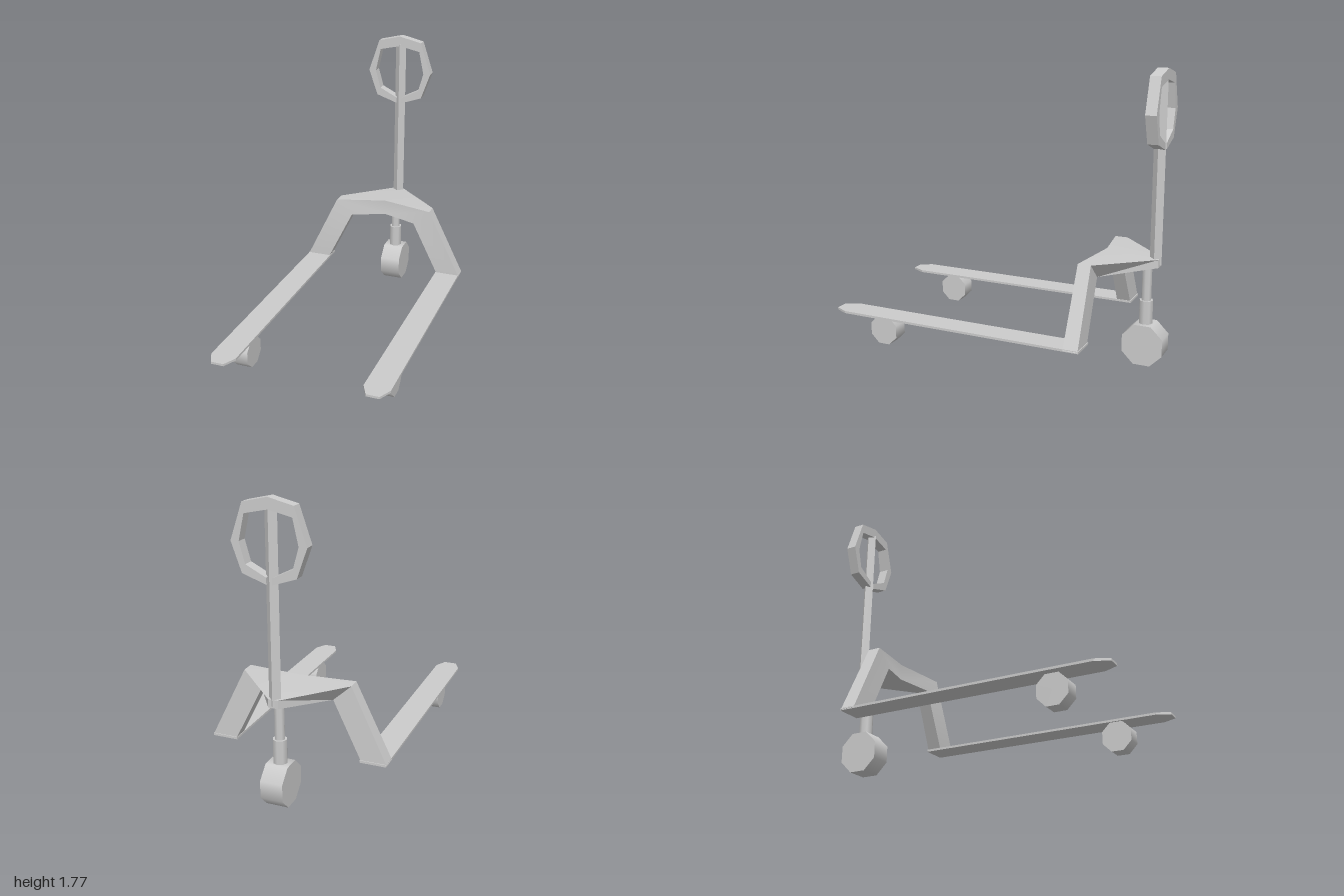
import * as THREE from 'three';
import { toCreasedNormals } from 'three/addons/utils/BufferGeometryUtils.js';

const smooth = new THREE.MeshStandardMaterial({ color: 0xcccccc, side: THREE.DoubleSide });
const flat = new THREE.MeshStandardMaterial({ color: 0xcccccc, flatShading: true });

function add(group, name, geometry, material = smooth) {
  const mesh = new THREE.Mesh(geometry, material);
  mesh.name = name;
  group.add(mesh);
  return mesh;
}

const shapeOf = (points) => new THREE.Shape(points.map(([x, y]) => new THREE.Vector2(x, y)));

// Octagonal wheel on an x axle, resting on a flat side
function wheel(group, name, radius, width, x, y, z) {
  const geo = new THREE.CylinderGeometry(radius, radius, width, 8, 1, false, Math.PI / 8);
  add(group, name, geo.rotateZ(Math.PI / 2)).position.set(x, y, z);
}

// Upright round or faceted bar between two heights
function bar(group, name, radius, y0, y1, z, sides, material) {
  const geo = new THREE.CylinderGeometry(radius, radius, y1 - y0, sides);
  add(group, name, geo, material).position.set(0, (y0 + y1) / 2, z);
}

// Arch: four-cornered sections (front top, front bottom, back bottom, back top) joined foot to foot
function archGeometry() {
  const half = [
    [[0.555, 0.22, -0.56], [0.4, 0.22, -0.56], [0.4, 0.22, -0.65], [0.555, 0.22, -0.65]],
    [[0.335, 0.67, -0.56], [0.225, 0.57, -0.56], [0.225, 0.57, -0.64], [0.335, 0.67, -0.64]],
    [[0, 0.685, -0.62], [0, 0.585, -0.62], [0.03, 0.61, -0.95], [0.03, 0.66, -0.95]],
  ];
  const mirrored = half.map((s) => s.map(([x, y, z]) => [-x, y, z])).reverse();
  const sections = [...half, ...mirrored];
  const position = [];
  const quad = (a, b, c, d) => position.push(...a, ...b, ...c, ...a, ...c, ...d);
  for (let i = 0; i < sections.length - 1; i++) {
    const s = sections[i], t = sections[i + 1];
    for (let j = 0; j < 4; j++) {
      const k = (j + 1) % 4;
      // Split mirrored halves along matching diagonals
      if (i < 2) quad(s[j], t[j], t[k], s[k]);
      else quad(t[j], t[k], s[k], s[j]);
    }
  }
  const first = sections[0], last = sections[sections.length - 1];
  quad(...first);
  quad(...[...last].reverse());
  const geo = new THREE.BufferGeometry();
  geo.setAttribute('position', new THREE.Float32BufferAttribute(position, 3));
  return toCreasedNormals(geo, 0.5);
}

export function createModel() {
  const model = new THREE.Group();
  model.name = 'palletJack';

  // Thin forks with clipped tips, each on a load wheel
  for (const [name, side] of [['left', 1], ['right', -1]]) {
    const outline = shapeOf([
      [-0.08, 0.655], [-0.08, -0.92], [-0.04, -1], [0.04, -1], [0.08, -0.92], [0.08, 0.655],
    ]);
    const geo = new THREE.ExtrudeGeometry(outline, { depth: 0.014, bevelEnabled: false });
    geo.rotateX(-Math.PI / 2);
    add(model, name + 'Fork', geo, flat).position.set(side * 0.473, 0.214, 0);
    wheel(model, name + 'LoadWheel', 0.098, 0.1, side * 0.455, 0.126, 0.665);
  }

  add(model, 'arch', archGeometry());

  // Steering wheel and its post
  wheel(model, 'steerWheel', 0.135, 0.136, 0, 0.125, -0.875);
  bar(model, 'steerSleeve', 0.042, 0.24, 0.395, -0.875, 8, smooth);
  bar(model, 'steerPost', 0.03, 0.395, 0.64, -0.875, 8, smooth);

  // Diamond-section tow bar
  bar(model, 'towBar', 0.036, 0.62, 1.72, -0.923, 4, flat);

  // Faceted loop handle, open at the bottom
  const outer = [[0.017, 1.312], [0.157, 1.36], [0.218, 1.53], [0.147, 1.74], [0, 1.775]];
  const inner = [[0.017, 1.35], [0.136, 1.41], [0.17, 1.53], [0.137, 1.68], [0, 1.71]];
  const loop = (side) => side.concat(side.slice(0, 4).reverse().map(([x, y]) => [-x, y]));
  const ring = shapeOf([...loop(outer), ...loop(inner).reverse()]);
  const handle = new THREE.ExtrudeGeometry(ring, { depth: 0.066, bevelEnabled: false });
  add(model, 'handle', handle, flat).position.z = -0.96;

  return model;
}
